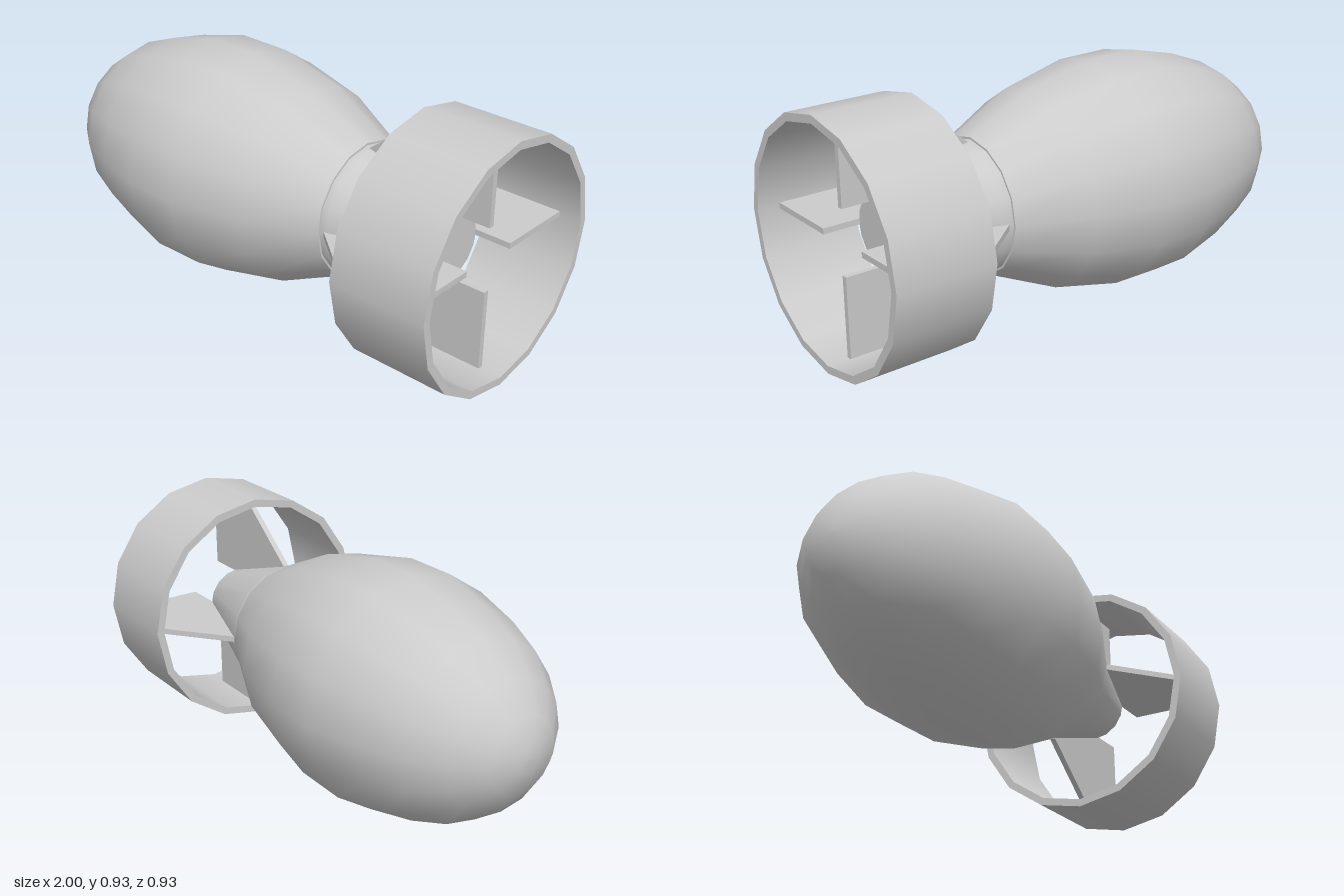
import * as THREE from 'three';
import { mergeGeometries } from 'three/addons/utils/BufferGeometryUtils.js';

const SIDES = 16;
const RADIUS = 0.467;

// Turned part along x. Each profile is a smooth run of [x, radius] points;
// separate profiles meet at a sharp edge.
function turned(...profiles) {
  const parts = profiles.map((p) =>
    new THREE.LatheGeometry(p.map(([x, r]) => new THREE.Vector2(r, x)), SIDES));
  return mergeGeometries(parts).rotateZ(-Math.PI / 2);
}

export function createModel() {
  const model = new THREE.Group();
  const material = new THREE.MeshStandardMaterial({ color: 0xcccccc });
  const add = (name, geometry) => {
    const mesh = new THREE.Mesh(geometry, material);
    mesh.name = name;
    mesh.position.y = RADIUS;
    model.add(mesh);
    return mesh;
  };

  // Egg-shaped body with a small flat step at its rear edge
  add('body', turned(
    [[-1, 0], [-0.998, 0.05], [-0.97, 0.14], [-0.885, 0.245], [-0.76, 0.335], [-0.6, 0.395],
      [-0.39, 0.446], [-0.17, 0.444], [0.11, 0.382], [0.38, 0.258]],
    [[0.38, 0.258], [0.38, 0.24]],
  ));

  // Tapered tail with a flat end
  add('tailCone', turned(
    [[0.38, 0.25], [0.41, 0.248], [0.77, 0.13]],
    [[0.77, 0.13], [0.77, 0]],
  ));

  // Hollow ring around the fins
  const inner = 0.437;
  add('tailRing', turned(
    [[0.615, RADIUS], [1, RADIUS]],
    [[1, RADIUS], [1, inner]],
    [[1, inner], [0.615, inner]],
    [[0.615, inner], [0.615, RADIUS]],
  ));

  // Four fins joining the tail to the ring
  const outline = [[0.4, 0.24], [0.4, 0.25], [0.637, inner], [0.915, inner], [0.915, 0.125], [0.75, 0.125]];
  const shape = new THREE.Shape(outline.map(([x, r]) => new THREE.Vector2(x, r)));
  const thickness = 0.022;
  const finGeometry = new THREE.ExtrudeGeometry(shape, { depth: thickness, bevelEnabled: false })
    .translate(0, 0, -thickness / 2);
  for (let i = 0; i < 4; i++) {
    add('fin' + (i + 1), finGeometry).rotation.x = (i * Math.PI) / 2;
  }

  return model;
}
